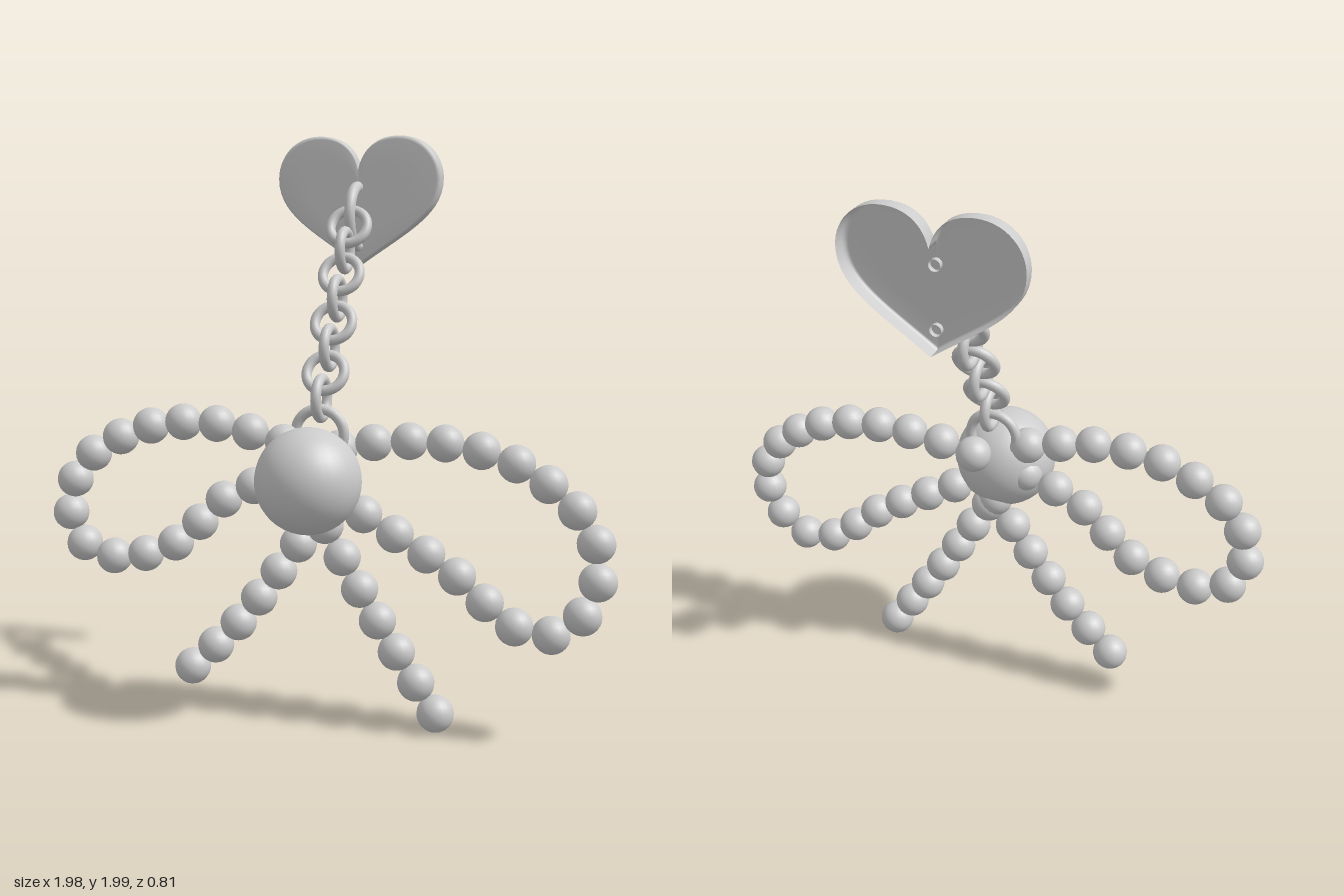
import * as THREE from 'three';

const CX = -0.012; // x of the chain and heart

export function createModel() {
  const group = new THREE.Group();
  const mat = new THREE.MeshStandardMaterial({ color: 0xcccccc });
  const thin = new THREE.MeshStandardMaterial({ color: 0xcccccc, side: THREE.DoubleSide });
  const add = (name, geo, pos, material = mat, parent = group) => {
    const mesh = new THREE.Mesh(geo, material);
    mesh.name = name;
    mesh.position.set(...pos);
    parent.add(mesh);
    return mesh;
  };

  // Heart: thin pressed shell, open at the back
  add('heartPlate', heartShell(), [CX, 1.75, 0], thin);

  // Half-ring handle on the heart
  const handle = new THREE.TorusGeometry(0.105, 0.02, 12, 32, Math.PI);
  handle.rotateX(Math.PI / 2).rotateZ(Math.PI / 2);
  add('heartHandle', handle, [CX, 1.715, -0.365 + 0.015], thin);
  for (const s of [-1, 1]) {
    const leg = new THREE.CylinderGeometry(0.02, 0.02, 0.02, 12, 1, true).rotateX(Math.PI / 2);
    add('handleLeg', leg, [CX, 1.715 + s * 0.105, -0.36], thin);
  }

  // Chain of rings, each turned a quarter from the last
  const chain = new THREE.Group();
  chain.name = 'chain';
  group.add(chain);
  const ring = new THREE.TorusGeometry(0.066, 0.018, 12, 32);
  for (let i = 0; i < 8; i++) {
    const link = add('chainLink', ring, [CX, 1.68 - 0.0809 * i, -0.235 + 0.0471 * i], mat, chain);
    if (i % 2) link.rotation.y = Math.PI / 2;
    else link.rotation.x = -Math.PI / 6;
  }

  // Big ball with its ring
  add('ballRing', new THREE.TorusGeometry(0.085, 0.018, 12, 32), [CX, 0.995, 0.115]);
  add('centreBall', new THREE.SphereGeometry(0.178, 32, 24), [-0.018, 0.855, 0.227]);

  // Strings of beads forming a bow
  const bead = new THREE.SphereGeometry(0.063, 20, 14);
  const beadString = (name, count, pts) => {
    const g = new THREE.Group();
    g.name = name;
    group.add(g);
    const curve = new THREE.CatmullRomCurve3(pts.map(([x, y, z = 0.143]) => new THREE.Vector3(x, y, z)));
    for (const p of curve.getSpacedPoints(count - 1)) add('bead', bead, p.toArray(), mat, g);
  };
  beadString('rightLoop', 17, [
    [-0.13, 0.965], [-0.37, 1.02], [-0.62, 1.0], [-0.84, 0.89], [-0.91, 0.79], [-0.925, 0.67],
    [-0.87, 0.565], [-0.745, 0.53], [-0.62, 0.555], [-0.51, 0.605], [-0.33, 0.77], [-0.12, 0.85],
  ]);
  beadString('leftLoop', 19, [
    [0.04, 0.94, 0.055], [0.16, 0.965, 0.055], [0.41, 0.975, 0.065], [0.65, 0.92, 0.08],
    [0.85, 0.785, 0.11], [0.915, 0.68, 0.12], [0.925, 0.56, 0.133], [0.875, 0.44], [0.78, 0.375],
    [0.655, 0.395], [0.465, 0.55], [0.25, 0.68], [0.04, 0.795],
  ]);
  beadString('rightTail', 7, [[-0.01, 0.72], [-0.15, 0.52], [-0.3, 0.325], [-0.47, 0.155]]);
  beadString('leftTail', 7, [[0.015, 0.69], [0.075, 0.585], [0.2, 0.373], [0.4, 0.07]]);

  return group;
}

// Rings of the heart outline from the open back edge, round the rim, to the middle of the face
function heartShell() {
  const shape = new THREE.Shape();
  shape.moveTo(0, -0.21);
  shape.bezierCurveTo(0.17, -0.09, 0.302, -0.03, 0.302, 0.1);
  shape.bezierCurveTo(0.302, 0.18, 0.24, 0.25, 0.147, 0.25);
  shape.bezierCurveTo(0.08, 0.25, 0.02, 0.22, 0, 0.135);
  shape.bezierCurveTo(-0.02, 0.22, -0.08, 0.25, -0.147, 0.25);
  shape.bezierCurveTo(-0.24, 0.25, -0.302, 0.18, -0.302, 0.1);
  shape.bezierCurveTo(-0.302, -0.03, -0.17, -0.09, 0, -0.21);
  const outline = shape.getPoints(14);
  const rings = [[1, -0.408], [1, -0.366], [0.985, -0.356], [0.95, -0.352], [0.6, -0.352], [0.001, -0.352]];
  const n = outline.length;
  const pos = [];
  const idx = [];
  rings.forEach(([s, z], r) => {
    outline.forEach((p, i) => {
      pos.push(p.x * s, p.y * s, z);
      if (r === 0 || i === n - 1) return;
      const a = (r - 1) * n + i;
      idx.push(a, a + 1, a + n, a + 1, a + n + 1, a + n);
    });
  });
  const geo = new THREE.BufferGeometry();
  geo.setAttribute('position', new THREE.Float32BufferAttribute(pos, 3));
  geo.setIndex(idx);
  geo.computeVertexNormals();
  return geo;
}
